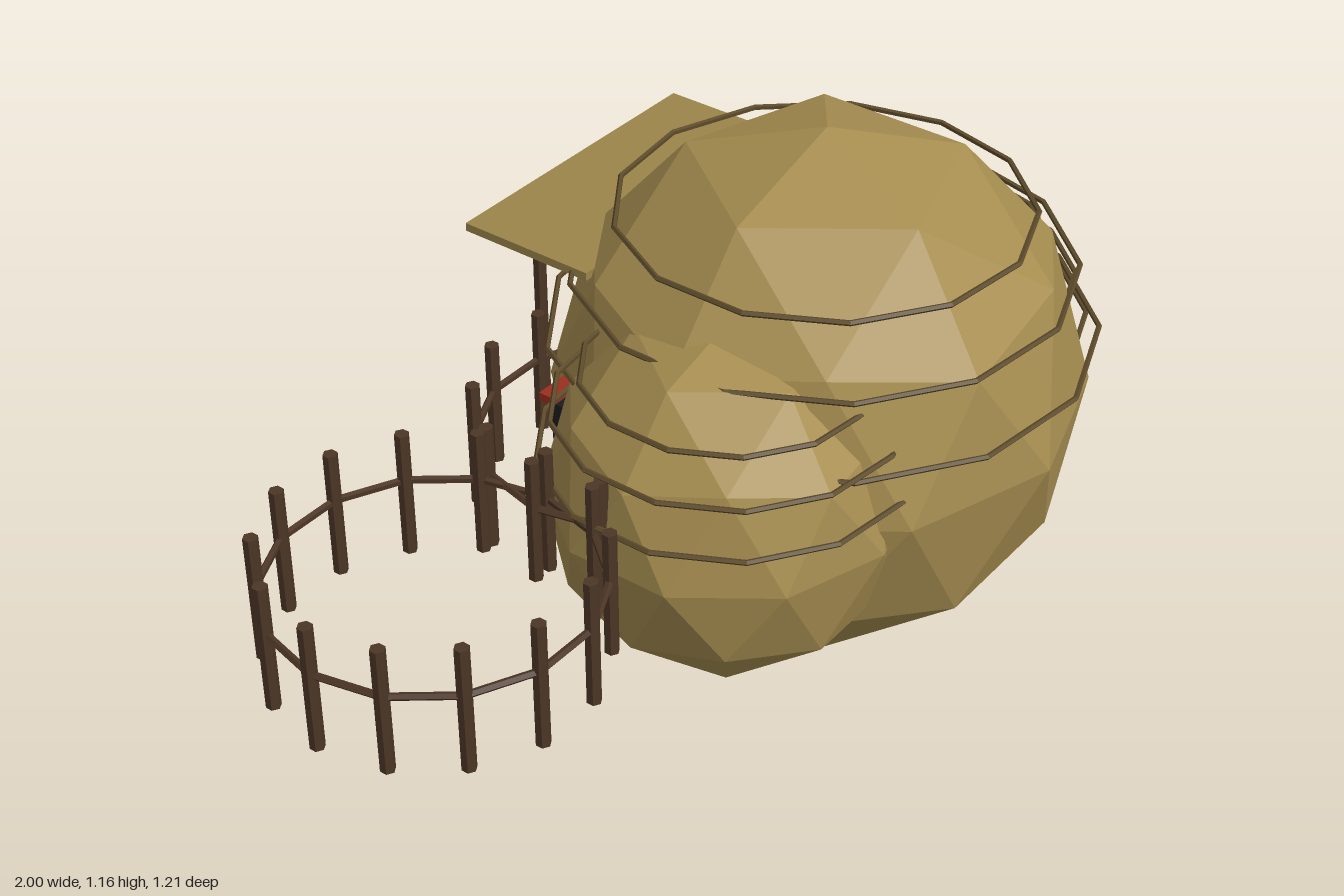
import * as THREE from 'three';

const flat = (name, color) => {
  const m = new THREE.MeshStandardMaterial({ color, flatShading: true });
  m.name = name;
  return m;
};

export function createModel() {
  const root = new THREE.Group();
  root.name = 'roundHuts';
  const straw = flat('straw', 0xa68d50);
  const thatch = flat('roof thatch', 0x9b854a);
  const rope = flat('rope', 0x5c4a2a);
  const wood = flat('dark wood', 0x4c3626);
  const black = flat('door black', 0x1c1c20);
  const red = flat('lintel red', 0x9c2e1e);
  const grey = flat('sign grey', 0xb0aea4);

  const add = (name, geo, mat, x, y, z) => {
    const mesh = new THREE.Mesh(geo, mat);
    mesh.name = name;
    mesh.position.set(x, y, z);
    root.add(mesh);
    return mesh;
  };
  const box = (name, mat, w, h, d, x, y, z) =>
    add(name, new THREE.BoxGeometry(w, h, d), mat, x, y, z);
  const ring = (name, mat, r, tube, sides, x, y, z) =>
    add(name, new THREE.TorusGeometry(r, tube, 5, sides).rotateX(-Math.PI / 2), mat, x, y, z);
  const post = (name, r, bottom, top, x, z) =>
    add(name, new THREE.CylinderGeometry(r, r, top - bottom, 6), wood, x, (bottom + top) / 2, z);

  // Faceted hut body with a vertex at each pole
  const body = (name, rx, ry, rz, x, y, z) => {
    const geo = new THREE.IcosahedronGeometry(1, 1);
    geo.rotateZ(Math.atan(2 / (1 + Math.sqrt(5))));
    geo.scale(rx, ry, rz);
    geo.computeVertexNormals();
    add(name, geo, straw, x, y, z);
  };

  // Main hut and its rope bands
  body('mainHut', 0.557, 0.58, 0.552, 0.367, 0.583, 0.038);
  for (const [y, r] of [[0.985, 0.422], [0.865, 0.512], [0.72, 0.562]])
    ring('mainHutBand', rope, r, 0.006, 13, 0.367, y, 0.038);

  // Side huts and their rope bands
  for (const [side, x] of [['right', 0], ['left', 0.61]]) {
    body(side + 'SideHut', 0.375, 0.39, 0.37, x, 0.535, 0.08);
    for (const [y, r] of [[0.815, 0.293], [0.735, 0.352], [0.64, 0.382]])
      ring(side + 'SideHutBand', rope, r, 0.006, 13, x, y, 0.08);
  }

  // Two round pens: posts joined by one rail
  for (const cx of [-0.66, -0.05]) {
    const cz = -0.105, r = 0.325, n = 14;
    ring('fenceRail', wood, r, 0.008, n, cx, 0.62, cz);
    for (let i = 0; i < n; i++) {
      const a = (i / n) * Math.PI * 2;
      post('fencePost', 0.015, 0.45, 0.73, cx + r * Math.cos(a), cz + r * Math.sin(a));
    }
  }

  // Porch at the back
  box('porchRoof', thatch, 0.69, 0.018, 0.315, 0.365, 0.868, -0.4475);
  for (const x of [0.06, 0.67]) post('porchPost', 0.014, 0.445, 0.86, x, -0.445);

  // Doors with lintels, and the hanging sign
  box('mainDoor', black, 0.15, 0.205, 0.033, 0.365, 0.548, -0.498);
  box('mainLintel', red, 0.18, 0.02, 0.034, 0.365, 0.67, -0.515);
  box('sideDoor', black, 0.145, 0.185, 0.033, 0, 0.515, -0.295);
  box('sideLintel', red, 0.18, 0.02, 0.034, 0, 0.625, -0.312);
  box('sign', grey, 0.1, 0.105, 0.012, 0.52, 0.617, -0.59);
  return root;
}
